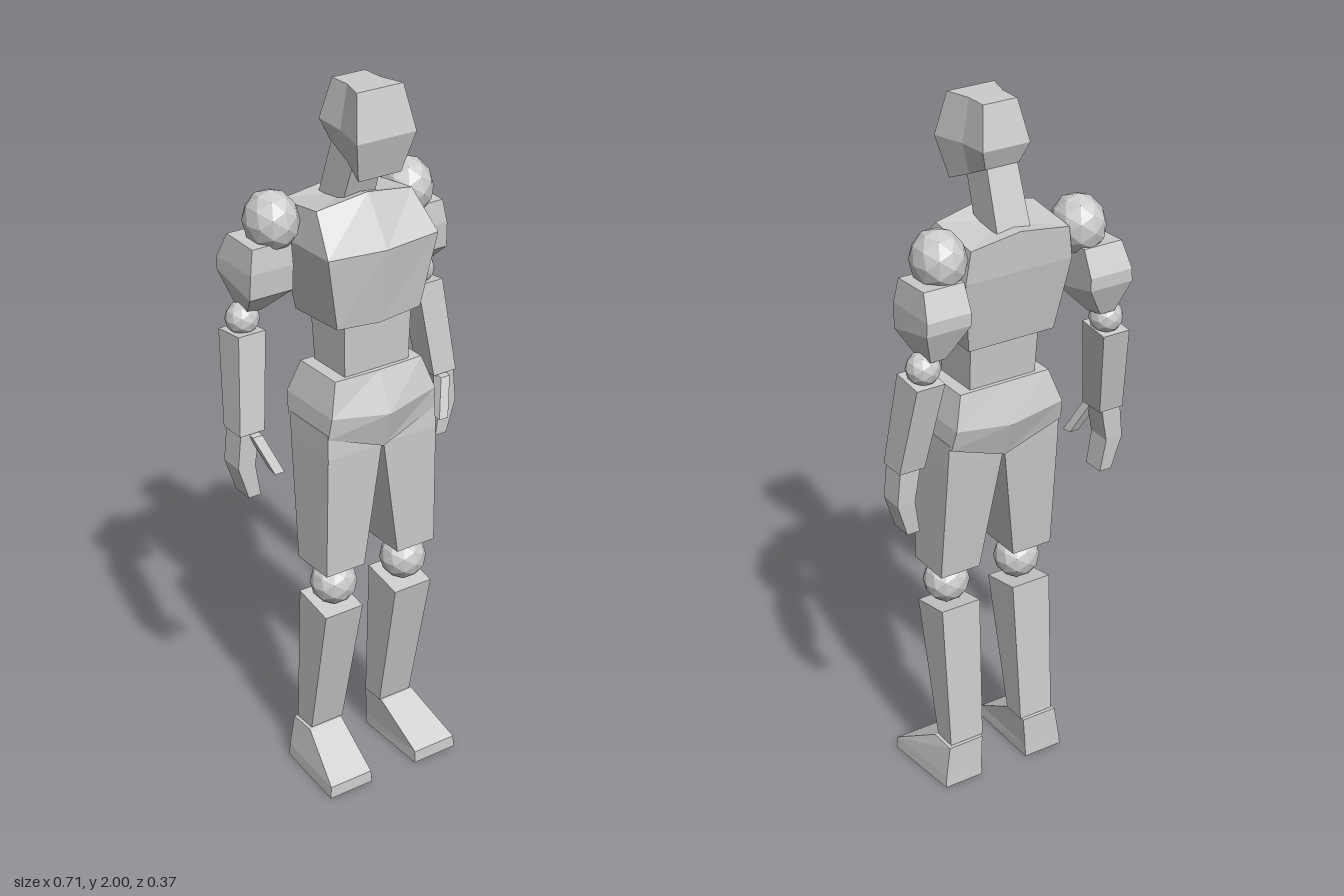
import * as THREE from 'three';

const material = new THREE.MeshStandardMaterial({ color: 0xcccccc, flatShading: true });

// Closed solid through rings of [x, y, z] points, listed bottom to top,
// each ring counter-clockwise seen from above
function loft(rings) {
  const pos = [];
  const tri = (a, b, c) => pos.push(...a, ...b, ...c);
  const n = rings[0].length;
  const middle = (r) => [0, 1, 2].map((k) => r.reduce((sum, p) => sum + p[k], 0) / n);
  const low = rings[0], high = rings[rings.length - 1];
  const lowMid = middle(low), highMid = middle(high);
  for (let j = 0; j < n; j++) {
    const k = (j + 1) % n;
    for (let i = 0; i < rings.length - 1; i++) {
      const r = rings[i], t = rings[i + 1];
      tri(r[j], r[k], t[k]);
      tri(r[j], t[k], t[j]);
    }
    tri(lowMid, low[k], low[j]);
    tri(highMid, high[j], high[k]);
  }
  const g = new THREE.BufferGeometry();
  g.setAttribute('position', new THREE.Float32BufferAttribute(pos, 3));
  g.computeVertexNormals();
  return g;
}

// Four-cornered ring; xa and xb may be given in either order,
// yFront tilts the front edge
function rect(y, xa, xb, zBack, zFront, yFront = y) {
  const l = Math.min(xa, xb), r = Math.max(xa, xb);
  return [[l, yFront, zFront], [r, yFront, zFront], [r, y, zBack], [l, y, zBack]];
}

// Symmetric ring from right-half points listed front to back;
// points on the centre line are not doubled
function mirrored(half) {
  const other = half.filter((p) => p[0] > 0).map(([x, y, z]) => [-x, y, z]).reverse();
  return [...half, ...other];
}

export function createModel() {
  const model = new THREE.Group();
  const add = (name, geometry, parent = model) => {
    const mesh = new THREE.Mesh(geometry, material);
    mesh.name = name;
    parent.add(mesh);
    return mesh;
  };
  const ball = (name, parent, x, y, z, rx, ry = rx, rz = rx) => {
    const mesh = add(name, new THREE.IcosahedronGeometry(1, 1), parent);
    mesh.position.set(x, y, z);
    mesh.scale.set(rx, ry, rz);
  };

  // Head, wider at the face than at the back
  add('head', loft([
    mirrored([[0.065, 1.77, 0.1], [0.05, 1.8, 0.03], [0.05, 1.835, -0.045]]),
    mirrored([[0.09, 1.88, 0.13], [0.07, 1.885, 0.03], [0.07, 1.89, -0.065]]),
    mirrored([[0.07, 2, 0.1], [0.05, 2, 0.03], [0.05, 2, -0.035]]),
  ]));

  // Neck leaning forward
  add('neck', loft([
    rect(1.66, -0.05, 0.05, -0.105, 0.0),
    rect(1.85, -0.045, 0.045, -0.04, 0.05, 1.8),
  ]));

  // Chest, waist and pelvis
  add('chest', loft([
    mirrored([[0, 1.375, 0.105], [0.13, 1.385, 0.1], [0.13, 1.375, -0.09], [0, 1.375, -0.09]]),
    mirrored([[0, 1.585, 0.135], [0.17, 1.59, 0.12], [0.16, 1.58, -0.125], [0, 1.58, -0.125]]),
    mirrored([[0, 1.715, 0.05], [0.147, 1.69, 0.035], [0.147, 1.67, -0.13], [0, 1.69, -0.13]]),
  ]));
  add('waist', loft([
    rect(1.2, -0.1, 0.1, -0.045, 0.09),
    rect(1.4, -0.105, 0.105, -0.06, 0.095),
  ]));
  add('pelvis', loft([
    mirrored([[0, 1.025, 0.125], [0.172, 1.09, 0.118], [0.172, 1.09, -0.07], [0, 1.025, -0.06]]),
    mirrored([[0, 1.13, 0.153], [0.165, 1.15, 0.125], [0.165, 1.15, -0.085], [0, 1.13, -0.095]]),
    mirrored([[0, 1.24, 0.105], [0.137, 1.24, 0.1], [0.137, 1.24, -0.06], [0, 1.24, -0.06]]),
  ]));

  for (const [side, s] of [['left', 1], ['right', -1]]) {
    const box = (y, xa, xb, zb, zf, yf) => rect(y, s * xa, s * xb, zb, zf, yf);

    // Arm
    const arm = new THREE.Group();
    arm.name = side + 'Arm';
    model.add(arm);
    ball('shoulder', arm, s * 0.21, 1.645, -0.077, 0.071, 0.082, 0.082);
    add('upperArm', loft([
      box(1.41, 0.235, 0.28, -0.15, -0.09, 1.4),
      box(1.5, 0.18, 0.31, -0.183, -0.026, 1.465),
      box(1.535, 0.18, 0.308, -0.183, -0.022),
      box(1.605, 0.18, 0.297, -0.15, -0.03, 1.6),
    ]), arm);
    ball('elbow', arm, s * 0.28, 1.38, -0.113, 0.046);
    add('forearm', loft([
      box(1.09, 0.275, 0.35, -0.105, -0.025),
      box(1.345, 0.243, 0.325, -0.158, -0.06, 1.355),
    ]), arm);
    add('hand', loft([
      box(0.9, 0.288, 0.325, -0.095, -0.03),
      box(0.995, 0.303, 0.355, -0.1, -0.03),
      box(1.095, 0.285, 0.345, -0.1, -0.03),
    ]), arm);
    add('thumb', loft([
      box(0.99, 0.253, 0.282, 0.0, 0.033, 0.985),
      box(1.09, 0.29, 0.32, -0.045, -0.012, 1.085),
    ]), arm);

    // Leg
    const leg = new THREE.Group();
    leg.name = side + 'Leg';
    model.add(leg);
    add('thigh', loft([
      box(0.675, 0.055, 0.178, -0.02, 0.115),
      box(1.03, 0.003, 0.174, -0.055, 0.12),
      box(1.1, 0.003, 0.172, -0.06, 0.115),
    ]), leg);
    ball('knee', leg, s * 0.116, 0.615, 0.056, 0.065);
    add('shin', loft([
      box(0.13, 0.065, 0.17, -0.048, 0.022),
      box(0.565, 0.055, 0.176, -0.02, 0.107, 0.54),
    ]), leg);
    // Foot: sloped instep ending in a low toe edge
    add('foot', loft([
      [...box(0, 0.075, 0.215, -0.06, 0.182).slice(0, 2), ...box(0, 0.075, 0.195, -0.06, 0).slice(2)],
      [...box(0.035, 0.077, 0.212, -0.058, 0.18).slice(0, 2), ...box(0.035, 0.075, 0.192, -0.058, 0).slice(2)],
      box(0.127, 0.07, 0.178, -0.055, 0.025),
    ]), leg);
  }
  return model;
}
